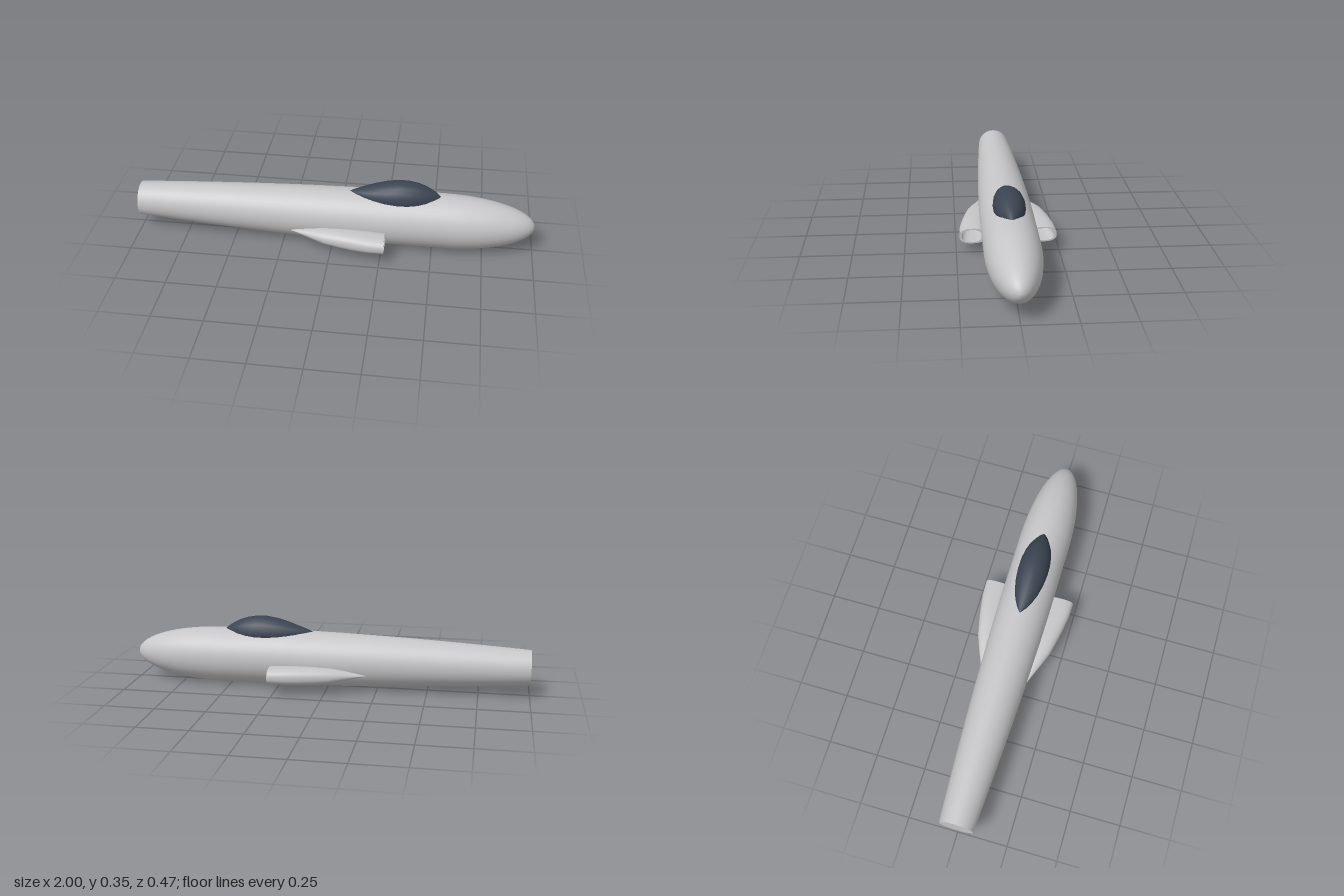
import * as THREE from 'three';

const SEG = 40;

// Skin through superellipse sections [x, y, z, ry, rz, exponent] stacked along x
function loft(sections, seg = SEG) {
  const pos = [], idx = [];
  const p = (v, n) => Math.sign(v) * Math.pow(Math.abs(v), 2 / n);
  sections.forEach(([x, y, z, ry, rz, n = 2], i) => {
    for (let j = 0; j < seg; j++) {
      const a = (j / seg) * Math.PI * 2;
      pos.push(x, y + ry * p(Math.cos(a), n), z + rz * p(Math.sin(a), n));
      if (i === sections.length - 1) continue;
      const k = (j + 1) % seg, r = i * seg, s = r + seg;
      idx.push(r + j, r + k, s + j, r + k, s + k, s + j);
    }
  });
  const g = new THREE.BufferGeometry();
  g.setAttribute('position', new THREE.Float32BufferAttribute(pos, 3));
  g.setIndex(idx);
  g.computeVertexNormals();
  return g;
}

export function createModel() {
  const hull = new THREE.MeshStandardMaterial({ color: 0xc6c6c8 });
  hull.name = 'hullGrey';
  const glass = new THREE.MeshStandardMaterial({ color: 0x3b4452 });
  glass.name = 'canopyDark';

  const model = new THREE.Group();
  model.name = 'aircraftBody';
  const add = (parent, name, geometry, material) => {
    const m = new THREE.Mesh(geometry, material);
    m.name = name;
    parent.add(m);
  };

  // Fuselage: tapering tail, straight middle, elliptical nose
  const body = [];
  for (let i = 0; i <= 14; i++) {
    const t = 1 - i / 14, k = Math.pow(t, 1.6);
    body.push([0.2 - 1.2 * t, 0.141 + 0.004 * k, 0, 0.139 - 0.052 * k, 0.132 - 0.047 * k]);
  }
  for (let i = 0; i <= 18; i++) {
    const a = (i / 18) * Math.PI / 2, r = Math.max(Math.cos(a), 0.002);
    body.push([0.55 + 0.45 * Math.sin(a), 0.141, 0, 0.139 * r, 0.132 * r]);
  }
  add(model, 'fuselage', loft(body), hull);

  // Flat tail end
  const cap = new THREE.CircleGeometry(1, SEG);
  cap.rotateY(-Math.PI / 2).scale(1, 0.087, 0.085).translate(-1, 0.145, 0);
  add(model, 'tailCap', cap, hull);

  // Canopy bubble: [x, centre height, rise, half width]
  const canopy = [
    [0.08, 0.277, 0.002, 0.001], [0.11, 0.274, 0.016, 0.024], [0.15, 0.271, 0.033, 0.043],
    [0.2, 0.268, 0.053, 0.060], [0.26, 0.266, 0.073, 0.072], [0.32, 0.266, 0.083, 0.077],
    [0.37, 0.266, 0.083, 0.076], [0.42, 0.266, 0.074, 0.068], [0.46, 0.267, 0.059, 0.055],
    [0.5, 0.268, 0.035, 0.033], [0.52, 0.270, 0.019, 0.017], [0.535, 0.274, 0.001, 0.001],
  ].map(([x, y, ry, rz]) => [x, y, 0, ry, rz]);
  add(model, 'canopy', loft(canopy, 20), glass);

  // Side air intakes: hollow pods fairing into the fuselage
  for (const [side, name] of [[1, 'rightPodIntake'], [-1, 'leftPodIntake']]) {
    const pod = new THREE.Group();
    pod.name = name;
    const at = ([x, y, z, ry, rz, n]) => [x, y, z * side, ry, rz, n];
    const lip = [0.27, 0.094, 0.171, 0.038, 0.064, 2.5];
    const mouth = [0.27, 0.094, 0.175, 0.031, 0.048, 2.6];
    const shell = [
      [-0.2, 0.096, 0.118, 0.001, 0.004, 2], [-0.15, 0.095, 0.122, 0.013, 0.020, 2],
      [-0.09, 0.095, 0.132, 0.026, 0.035, 2], [-0.03, 0.094, 0.142, 0.036, 0.048, 2.2],
      [0.04, 0.094, 0.151, 0.041, 0.055, 2.3], [0.11, 0.094, 0.159, 0.043, 0.061, 2.4],
      [0.19, 0.094, 0.167, 0.042, 0.065, 2.5], lip,
    ];
    const duct = [
      mouth, [0.19, 0.094, 0.169, 0.034, 0.050, 2.5], [0.11, 0.094, 0.160, 0.034, 0.046, 2.4],
      [0.03, 0.094, 0.149, 0.031, 0.040, 2.2], [-0.05, 0.094, 0.138, 0.022, 0.030, 2],
      [-0.13, 0.095, 0.126, 0.001, 0.001, 2],
    ];
    add(pod, 'intakeShell', loft(shell.map(at)), hull);
    add(pod, 'intakeRim', loft([lip, mouth].map(at)), hull);
    add(pod, 'intakeDuct', loft(duct.map(at)), hull);
    model.add(pod);
  }
  return model;
}
